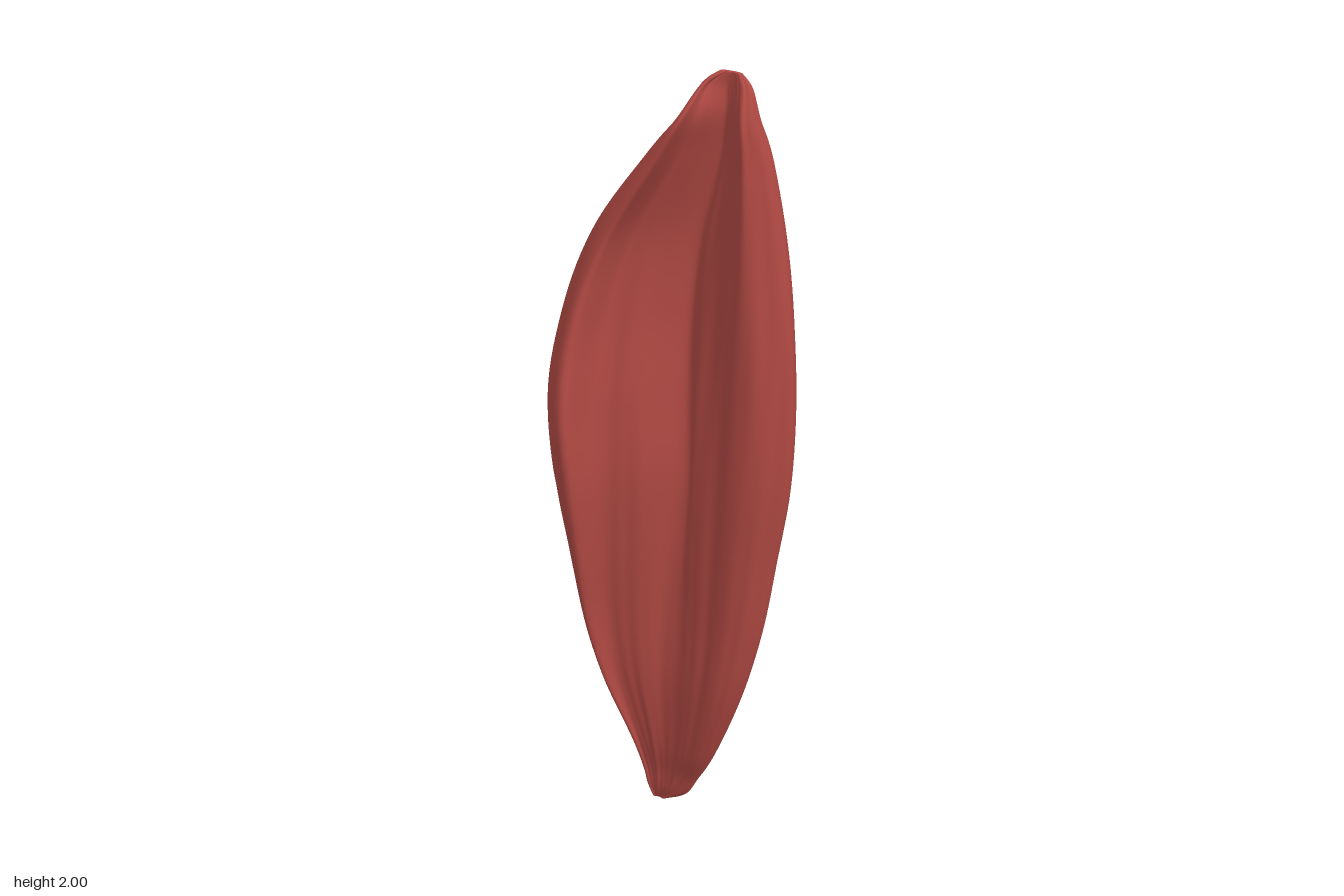
import * as THREE from 'three';

// Guide sections from bottom to top:
// y, left x, right x, back z, left lip x, left lip z, right lip z, hollow z
const SECTIONS = [
  [0.00, -0.138, -0.100, -0.168, -0.130, -0.150, -0.152, -0.155],
  [0.04, -0.150, -0.035, -0.171, -0.137, -0.138, -0.140, -0.143],
  [0.10, -0.155, 0.005, -0.172, -0.142, -0.122, -0.130, -0.133],
  [0.20, -0.168, 0.065, -0.175, -0.152, -0.085, -0.100, -0.110],
  [0.40, -0.207, 0.152, -0.182, -0.180, -0.005, -0.062, -0.080],
  [0.60, -0.247, 0.212, -0.191, -0.182, 0.068, -0.042, -0.068],
  [0.80, -0.281, 0.253, -0.196, -0.162, 0.130, -0.024, -0.058],
  [1.00, -0.307, 0.291, -0.198, -0.147, 0.180, -0.008, -0.050],
  [1.20, -0.300, 0.306, -0.194, -0.147, 0.198, 0.002, -0.046],
  [1.40, -0.250, 0.303, -0.181, -0.132, 0.165, 0.012, -0.044],
  [1.60, -0.165, 0.288, -0.158, -0.075, 0.118, 0.018, -0.040],
  [1.80, -0.015, 0.262, -0.108, 0.045, 0.108, 0.026, -0.028],
  [1.90, 0.072, 0.242, -0.058, 0.100, 0.095, 0.028, -0.010],
  [1.97, 0.108, 0.226, -0.024, 0.122, 0.030, 0.010, -0.005],
  [2.00, 0.145, 0.200, -0.010, 0.160, 0.000, 0.000, -0.003],
];
const ROWS = 96;
const AROUND = 128;
const { lerp: mix, smoothstep, clamp } = THREE.MathUtils;

// Smoothly blends the guide sections at t = 0..1
function sectionAt(t) {
  const last = SECTIONS.length - 1;
  const f = t * last;
  const i = Math.min(Math.floor(f), last - 1);
  const u = f - i;
  const row = (k) => SECTIONS[clamp(k, 0, last)];
  return row(i).map((b, c) => {
    const a = row(i - 1)[c], d = row(i + 1)[c], e = row(i + 2)[c];
    const m0 = (d - a) / 2, m1 = (e - b) / 2;
    return b + u * m0 + u * u * (3 * (d - b) - 2 * m0 - m1) + u * u * u * (2 * (b - d) + m0 + m1);
  });
}

// Crescent cross-section: round back, tall left lip with a shelf falling into a hollow, low right lip
function crescent([y, xl, xr, zb, lipX, lipZ, rz, iz]) {
  const w = xr - xl;
  // Towards both ends the left flank leans forward
  const lean = 0.18 * (smoothstep(y, 1.1, 1.7) + 1 - smoothstep(y, 0.1, 0.7));
  const points = [
    [lipX, lipZ],
    [mix(lipX, xl, 0.66), mix(zb, lipZ, 0.77 + lean * 0.4)],
    [xl, mix(zb, lipZ, 0.47 + lean)],
    [xl + 0.08 * w, mix(zb, lipZ, 0.2 + lean)],
    [xl + 0.26 * w, mix(zb, lipZ, 0.055 + lean * 0.5)],
    [xl + 0.54 * w, zb],
    [xl + 0.81 * w, mix(zb, rz, 0.11)],
    [xl + 0.95 * w, mix(zb, rz, 0.37)],
    [xr, mix(zb, rz, 0.66)],
    [xr - 0.06 * w, mix(zb, rz, 0.88)],
    [xr - 0.15 * w, rz],
    [xr - 0.27 * w, mix(rz, iz, 0.35)],
    [xr - 0.39 * w, mix(rz, iz, 0.75)],
    [mix(lipX, xr, 0.40), iz],
    [mix(lipX, xr, 0.27), mix(iz, lipZ, 0.25)],
    [mix(lipX, xr, 0.16), mix(iz, lipZ, 0.43)],
    [mix(lipX, xr, 0.06), mix(iz, lipZ, 0.57)],
  ].map(([x, z]) => new THREE.Vector3(x, y, z));
  return new THREE.CatmullRomCurve3(points, true, 'centripetal');
}

// Shallow grooves that run along the fibres and drift sideways
function groove(s, t) {
  const a = s * Math.PI * 2;
  const drift = Math.sin(t * 5) * 0.8;
  return Math.sin(13 * a + 3 * drift) * 0.5
    + Math.sin(22 * a - 4 * drift + Math.sin(t * 9)) * 0.3
    + Math.sin(7 * a + 2 * drift + 1) * 0.5;
}

function muscleGeometry() {
  const positions = [];
  const indices = [];
  for (let r = 0; r <= ROWS; r++) {
    const t = r / ROWS;
    const curve = crescent(sectionAt(t));
    const depth = 0.0025 * Math.sin(Math.PI * t) ** 0.7;
    for (let k = 0; k < AROUND; k++) {
      const s = k / AROUND;
      const p = curve.getPoint(s);
      const tangent = curve.getTangent(s);
      const push = depth * groove(s, t);
      positions.push(p.x + tangent.z * push, p.y, p.z - tangent.x * push);
      if (r < ROWS) {
        const a = r * AROUND + k;
        const b = r * AROUND + (k + 1) % AROUND;
        indices.push(a, a + AROUND, b, b, a + AROUND, b + AROUND);
      }
    }
  }
  // Close both ends with a fan
  for (const r of [0, ROWS]) {
    const [y, xl, xr, zb, , lipZ] = sectionAt(r / ROWS);
    const centre = positions.length / 3;
    positions.push((xl + xr) / 2, y, (zb + lipZ) / 2);
    for (let k = 0; k < AROUND; k++) {
      const a = r * AROUND + k;
      const b = r * AROUND + (k + 1) % AROUND;
      if (r === 0) indices.push(centre, a, b);
      else indices.push(centre, b, a);
    }
  }
  const geometry = new THREE.BufferGeometry();
  geometry.setAttribute('position', new THREE.Float32BufferAttribute(positions, 3));
  geometry.setIndex(indices);
  geometry.computeVertexNormals();
  return geometry;
}

export function createModel() {
  const group = new THREE.Group();
  group.name = 'muscle';
  const muscleRed = new THREE.MeshStandardMaterial({ color: 0xb54b45 });
  muscleRed.name = 'muscleRed';
  const belly = new THREE.Mesh(muscleGeometry(), muscleRed);
  belly.name = 'muscleBelly';
  group.add(belly);
  return group;
}
